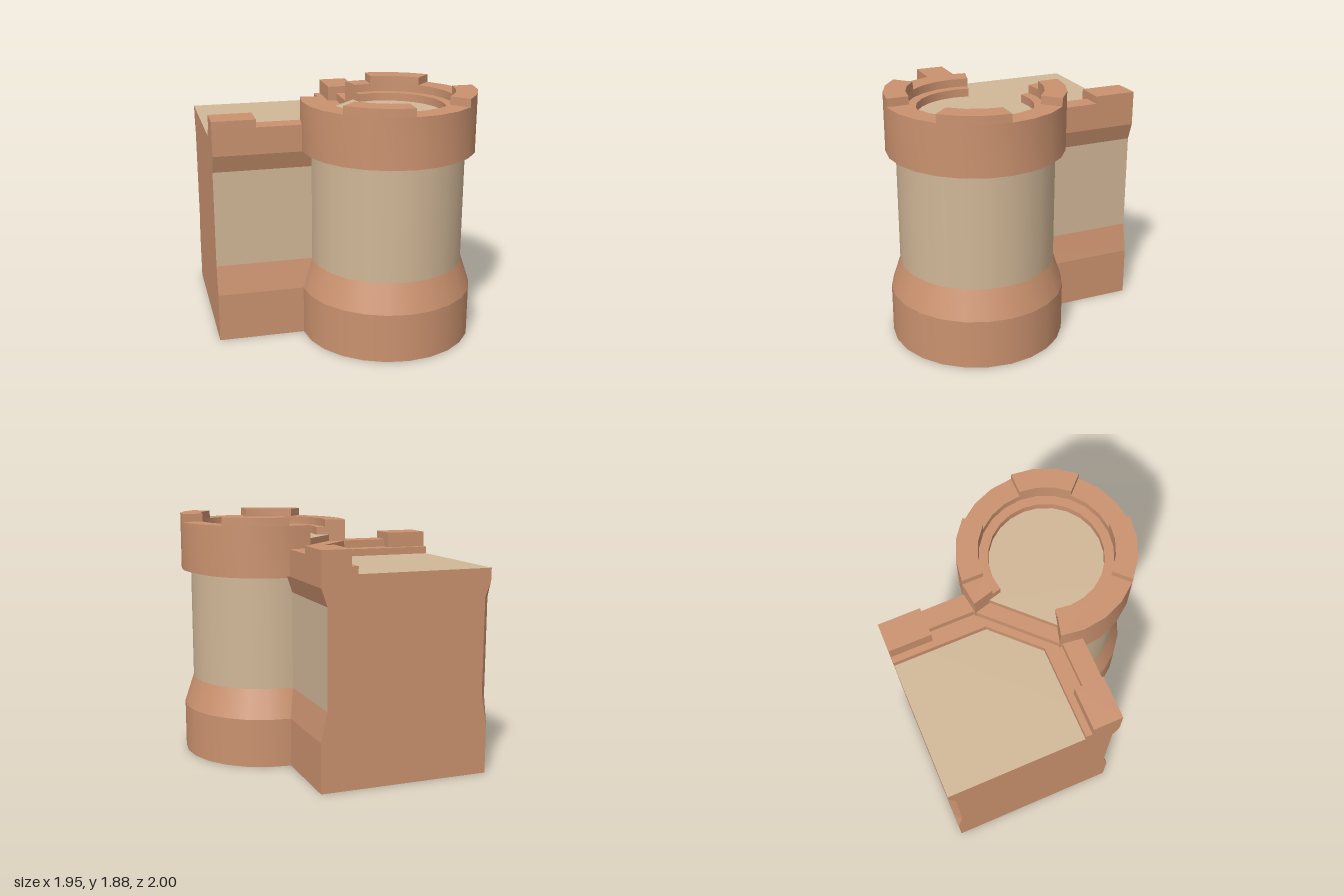
import * as THREE from 'three';
import { toCreasedNormals } from 'three/addons/utils/BufferGeometryUtils.js';

const S = 1.3;          // side of the wall block, its corner sits on the tower axis
const R = 0.648;        // outer tower radius
const SIDES = 24;

export function createModel() {
  const brick = new THREE.MeshStandardMaterial({ color: 0xcb926f });
  brick.name = 'terracotta stone';
  const beige = new THREE.MeshStandardMaterial({ color: 0xd1b797 });
  beige.name = 'beige plaster';

  const model = new THREE.Group();
  model.name = 'cornerTower';
  const body = new THREE.Group(); // origin on the tower axis
  body.name = 'towerAndWalls';
  body.position.set(0.323, 0, 0.35);
  body.rotation.y = THREE.MathUtils.degToRad(-2.2);
  model.add(body);

  const add = (name, geometry, material) => {
    const mesh = new THREE.Mesh(geometry, material);
    mesh.name = name;
    body.add(mesh);
    return mesh;
  };

  // Upright prism from an (x, z) outline
  const prism = (name, points, y0, y1, material = brick) => {
    const shape = new THREE.Shape(points.map(([x, z]) => new THREE.Vector2(x, z)));
    const g = new THREE.ExtrudeGeometry(shape, { depth: y1 - y0, bevelEnabled: false });
    g.rotateX(Math.PI / 2).translate(0, y1, 0);
    return add(name, toCreasedNormals(g, 0.5), material);
  };

  // Points on an arc, angles in degrees from +x towards +z
  const arc = (r, a0, a1) => {
    const n = Math.round((a1 - a0) / (360 / SIDES));
    return Array.from({ length: n + 1 }, (_, i) => {
      const a = THREE.MathUtils.degToRad(a0 + ((a1 - a0) * i) / n);
      return [r * Math.cos(a), r * Math.sin(a)];
    });
  };
  const ringSector = (name, r0, r1, a0, a1, y0, y1) =>
    prism(name, [...arc(r1, a0, a1), ...arc(r0, a0, a1).reverse()], y0, y1);

  // Tower body
  const drum = (name, rBottom, rTop, y0, y1, material, open = true) => {
    const g = new THREE.CylinderGeometry(rTop, rBottom, y1 - y0, SIDES, 1, open);
    add(name, g.translate(0, (y0 + y1) / 2, 0), material);
  };
  drum('towerBase', R, R, 0, 0.37, brick, false);
  drum('towerBaseSlope', R, 0.575, 0.37, 0.59, brick);
  drum('towerShaft', 0.575, 0.575, 0.59, 1.43, beige);
  drum('towerNeck', 0.575, 0.575, 1.43, 1.45, brick);

  // Tower crown, open towards the courtyard corner
  ringSector('towerParapet', 0.49, R, -105, 195, 1.45, 1.82);
  ringSector('towerInnerLedge', 0.42, 0.49, -105, 195, 1.6, 1.76);
  for (const a of [-90, 0, 90]) ringSector('towerMerlon', 0.49, R, a, a + 45, 1.82, 1.88);
  prism('towerFloor', arc(0.52, -105, 195), 1.5, 1.7, [beige, brick]);

  // Wall block: stacked sections, recessed by d on the outer faces and the back corner
  const levels = [[0, 0], [0.37, 0], [0.59, 0.045], [1.32, 0.045], [1.45, 0], [1.535, 0]];
  const section = ([y, d]) =>
    [[d - S, -S], [-d, -S], [-d, -d], [-S, -d], [-S, d - S]].map(([x, z]) => [x, y, z]);
  const brickFaces = [], beigeFaces = [];
  for (let k = 0; k < levels.length - 1; k++) {
    const lo = section(levels[k]), hi = section(levels[k + 1]);
    for (let i = 0; i < 5; i++) {
      const j = (i + 1) % 5;
      if (i === 4 && levels[k][1] + levels[k + 1][1] === 0) continue; // no corner cut here
      const target = k === 2 && (i === 1 || i === 2) ? beigeFaces : brickFaces;
      target.push(...lo[i], ...hi[i], ...hi[j], ...lo[i], ...hi[j], ...lo[j]);
    }
  }
  const faces = (name, list, material) => {
    const g = new THREE.BufferGeometry();
    g.setAttribute('position', new THREE.Float32BufferAttribute(list, 3));
    g.computeVertexNormals();
    add(name, g, material);
  };
  faces('wallStone', brickFaces, brick);
  faces('wallPanels', beigeFaces, beige);
  const slab = (name, y, turn, material) => add(name,
    new THREE.PlaneGeometry(S, S).rotateX(turn).translate(-S / 2, y, -S / 2), material);
  slab('wallFloor', 1.535, -Math.PI / 2, beige);
  slab('wallUnderside', 0, Math.PI / 2, brick);

  // Stepped wall tops: an L with a diagonal inner corner
  const wallTop = (name, w, cut, y0, y1) => prism(name, [
    [-w, -S], [0, -S], [0, 0], [-S, 0], [-S, -w], [-cut, -w], [-w, -cut],
  ], y0, y1);
  wallTop('wallLedge', 0.27, 0.59, 1.535, 1.59);
  wallTop('wallParapet', 0.15, 0.635, 1.59, 1.65);

  // End merlons on both walls
  const merlon = [[-0.22, -S], [0, -S], [0, -0.98], [-0.22, -0.98]];
  prism('rearWallMerlon', merlon, 1.59, 1.707);
  prism('sideWallMerlon', merlon.map(([x, z]) => [z, x]), 1.59, 1.707);

  return model;
}
